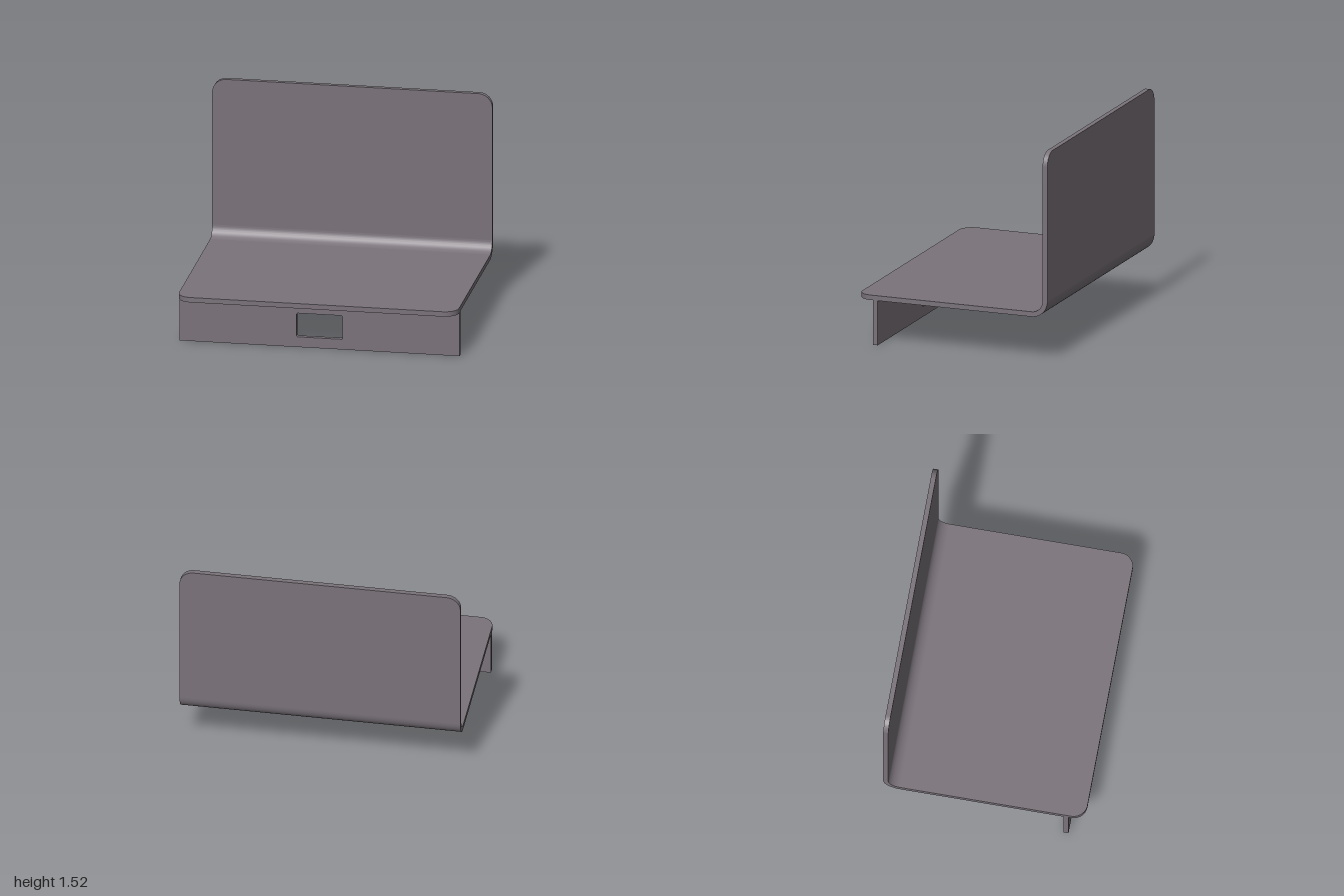
import * as THREE from 'three';
import { toCreasedNormals } from 'three/addons/utils/BufferGeometryUtils.js';

const T = 0.036;        // sheet thickness
const TOP = 0.36;       // upper face of the shelf
const BACK = -0.72;     // rear face of the back panel
const R = 0.12;         // outer bend radius

// Trace a rectangle with separate lower and upper corner radii
function roundedRect(path, x0, y0, x1, y1, low, high) {
  path.moveTo(x0 + low, y0);
  path.lineTo(x1 - low, y0);
  if (low) path.absarc(x1 - low, y0 + low, low, -Math.PI / 2, 0, false);
  path.lineTo(x1, y1 - high);
  if (high) path.absarc(x1 - high, y1 - high, high, 0, Math.PI / 2, false);
  path.lineTo(x0 + high, y1);
  if (high) path.absarc(x0 + high, y1 - high, high, Math.PI / 2, Math.PI, false);
  path.lineTo(x0, y0 + low);
  if (low) path.absarc(x0 + low, y0 + low, low, Math.PI, Math.PI * 1.5, false);
  return path;
}

function extrude(shape, depth) {
  const geometry = new THREE.ExtrudeGeometry(shape, { depth, bevelEnabled: false, curveSegments: 16 });
  return toCreasedNormals(geometry, 0.6);
}

export function createModel() {
  const group = new THREE.Group();
  const metal = new THREE.MeshStandardMaterial({ name: 'warm grey metal', color: 0x7a737a });

  function add(name, geometry) {
    const mesh = new THREE.Mesh(geometry, metal);
    mesh.name = name;
    group.add(mesh);
  }

  // Upright back panel with rounded top corners
  const panel = roundedRect(new THREE.Shape(), -1, TOP - T + R, 1, 1.52, 0, 0.1);
  add('backPanel', extrude(panel, T).translate(0, 0, BACK));

  // Horizontal shelf with rounded front corners
  const shelf = roundedRect(new THREE.Shape(), -1, BACK + R, 1, 0.72, 0, 0.1);
  add('shelf', extrude(shelf, T).rotateX(Math.PI / 2).translate(0, TOP, 0));

  // Quarter bend joining the shelf to the back panel
  const bend = new THREE.Shape();
  const cx = -BACK - R, cy = TOP - T + R;
  bend.absarc(cx, cy, R, -Math.PI / 2, 0, false);
  bend.absarc(cx, cy, R - T, 0, -Math.PI / 2, true);
  add('bend', extrude(bend, 2).rotateY(Math.PI / 2).translate(-1, 0, 0));

  // Front flange under the shelf, with its slot
  const flange = roundedRect(new THREE.Shape(), -1, 0, 1, TOP - T, 0, 0);
  flange.holes.push(roundedRect(new THREE.Path(), -0.165, 0.075, 0.165, 0.25, 0.012, 0.012));
  add('frontFlange', extrude(flange, T).translate(0, 0, 0.566));

  return group;
}
